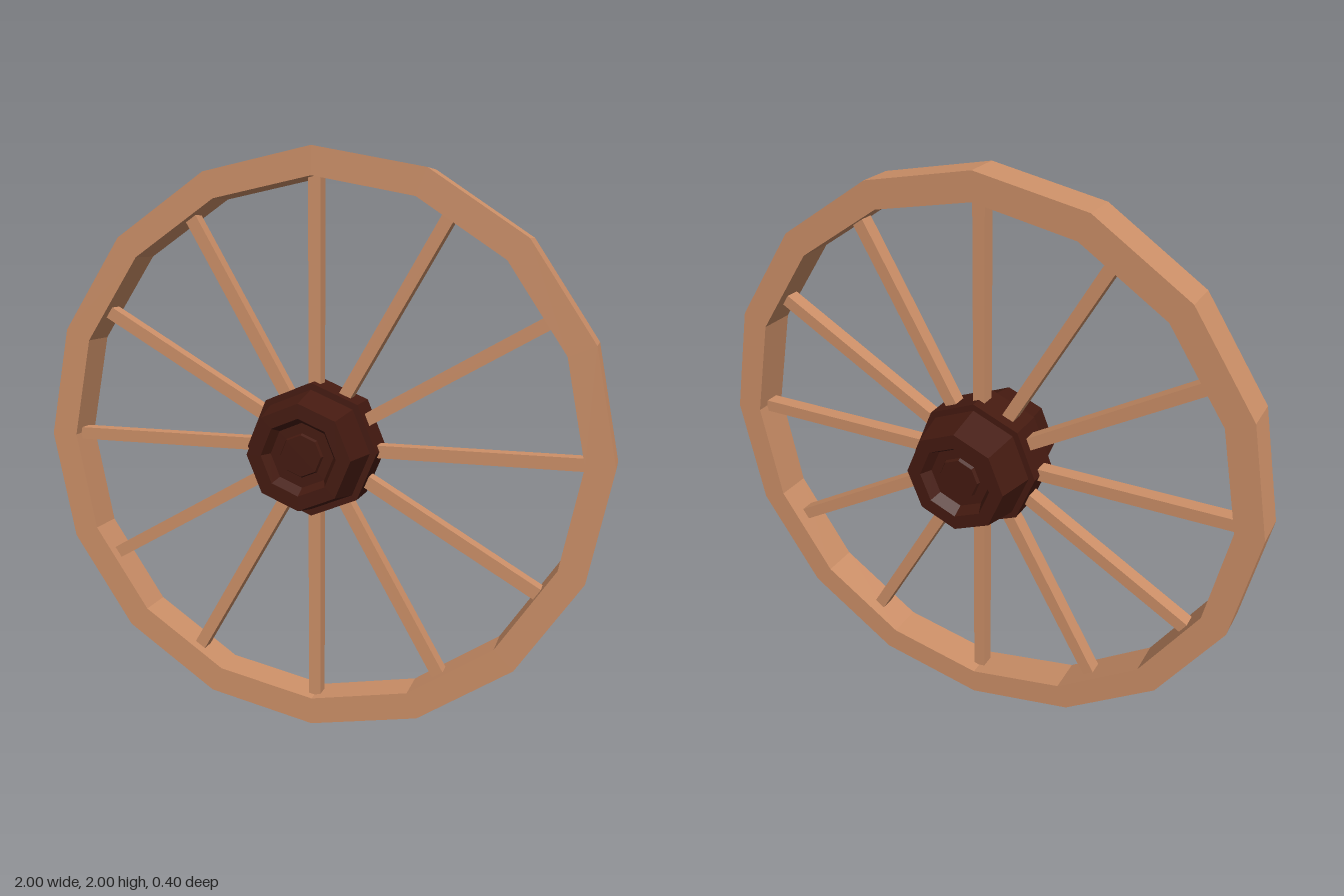
import * as THREE from 'three';

const wood = new THREE.MeshStandardMaterial({ color: 0xcd9068, flatShading: true });
const darkWood = new THREE.MeshStandardMaterial({ color: 0x451a10, flatShading: true });

// Faceted ring or drum turned about the z axis from [radius, z] pairs
function turned(name, profile, sides, material) {
  const points = profile.map(([r, z]) => new THREE.Vector2(r, z));
  const geometry = new THREE.LatheGeometry(points, sides).rotateX(Math.PI / 2);
  const mesh = new THREE.Mesh(geometry, material);
  mesh.name = name;
  return mesh;
}

export function createModel() {
  const wheel = new THREE.Group();
  wheel.name = 'wagonWheel';
  const body = new THREE.Group();
  body.name = 'wheelBody';
  body.position.y = 1;
  wheel.add(body);

  // Sixteen-sided rim
  const back = -0.07, front = 0.062, inner = 0.905;
  body.add(turned('rim', [
    [inner, back], [1, back], [1, front], [inner, front], [inner, back],
  ], 16, wood));

  // Octagonal hub: tapered ends, raised collar, recessed faces with a small axle cap
  const half = [
    [0.23, 0.065], [0.207, 0.065], [0.18, 0.202], [0.13, 0.202],
    [0.11, 0.16], [0.075, 0.16], [0.07, 0.172], [0, 0.172],
  ];
  const mirrored = half.map(([r, z]) => [r, -z]).reverse();
  body.add(turned('hub', [...mirrored, ...half], 8, darkWood));

  // Twelve spokes from hub to rim
  const spokes = new THREE.Group();
  spokes.name = 'spokes';
  const start = 0.15, end = 0.905;
  const spokeGeometry = new THREE.BoxGeometry(0.043, end - start, 0.052);
  spokeGeometry.translate(0, (start + end) / 2, 0);
  for (let i = 0; i < 12; i++) {
    const spoke = new THREE.Mesh(spokeGeometry, wood);
    spoke.name = `spoke${i + 1}`;
    spoke.rotation.z = (i * Math.PI) / 6;
    spokes.add(spoke);
  }
  body.add(spokes);

  return wheel;
}
